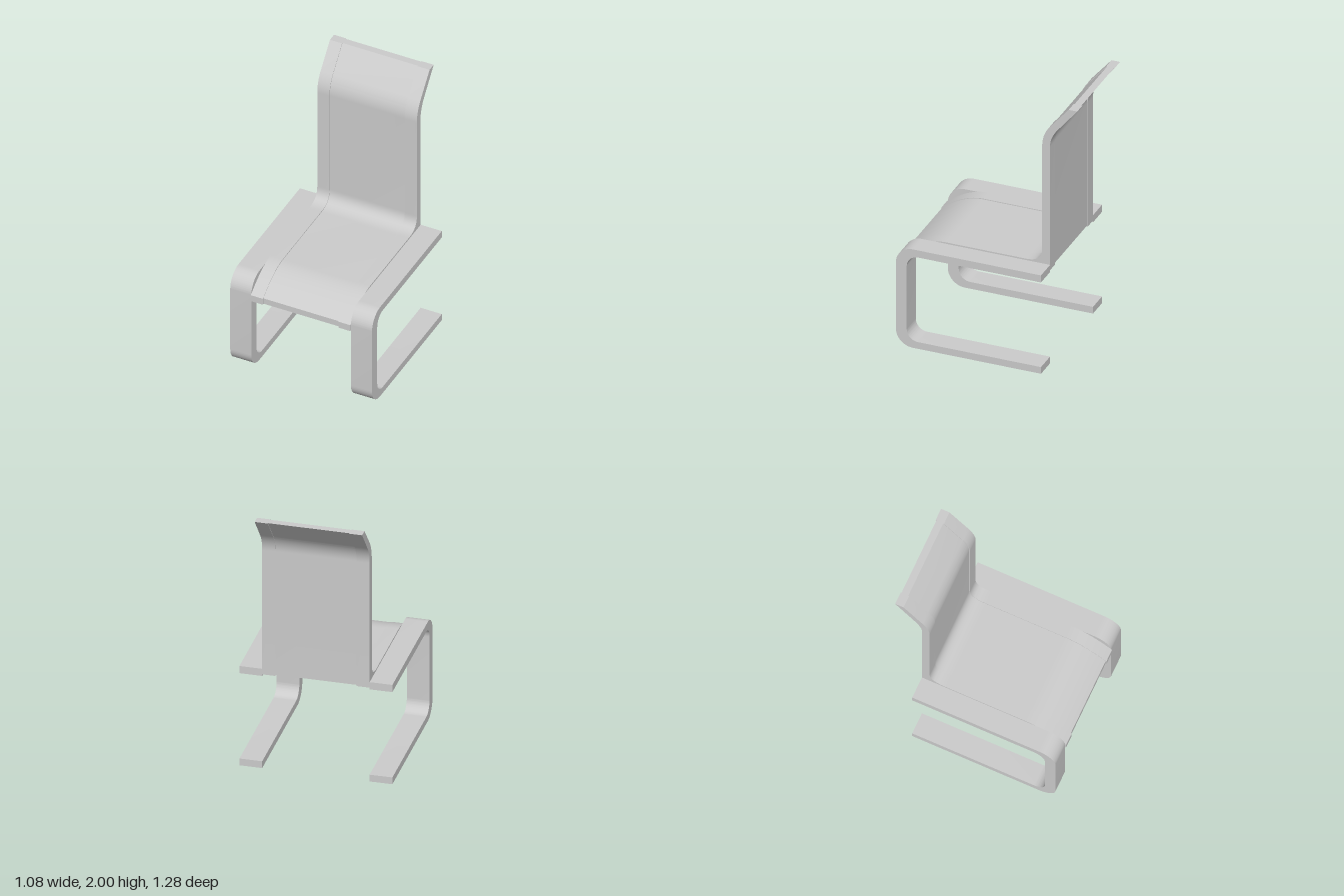
import * as THREE from 'three';
import { toCreasedNormals } from 'three/addons/utils/BufferGeometryUtils.js';

const material = new THREE.MeshStandardMaterial({ color: 0xcccccc });

// Extrudes a side profile drawn in (z, y) across the width from x0 to x1.
function slab(name, shape, x0, x1) {
  let geometry = new THREE.ExtrudeGeometry(shape, { depth: x1 - x0, bevelEnabled: false, curveSegments: 16 });
  geometry.rotateY(-Math.PI / 2); // profile x -> z, depth -> -x
  geometry.translate(x1, 0, 0);
  geometry = toCreasedNormals(geometry, 0.5);
  const mesh = new THREE.Mesh(geometry, material);
  mesh.name = name;
  return mesh;
}

// Cantilever leg: a C-shaped strip open at the back.
function legProfile() {
  const back = -0.44, front = 0.63, top = 0.765, R = 0.125, r = 0.085;
  const inFront = 0.55, inTop = 0.71, inBottom = 0.052;
  const s = new THREE.Shape();
  s.moveTo(back, 0);
  s.lineTo(front - R, 0);
  s.absarc(front - R, R, R, -Math.PI / 2, 0, false);
  s.absarc(front - R, top - R, R, 0, Math.PI / 2, false);
  s.lineTo(back, top);
  s.lineTo(back, inTop);
  s.lineTo(inFront - r, inTop);
  s.absarc(inFront - r, inTop - r, r, Math.PI / 2, 0, true);
  s.absarc(inFront - r, inBottom + r, r, 0, -Math.PI / 2, true);
  s.lineTo(back, inBottom);
  s.closePath();
  return s;
}

// Seat and backrest in one strip; g thickens it on both faces.
function seatProfile(g) {
  const front = 0.631 + g, top = 0.77 + g, bottom = 0.728 - g;
  const faceZ = -0.388 + g, rearZ = -0.433 - g;
  const s = new THREE.Shape();
  s.moveTo(rearZ, bottom);
  s.lineTo(0.32, bottom);
  s.quadraticCurveTo(0.45, bottom, front, 0.6 - g);       // underside of the lip
  s.lineTo(front, 0.645);
  s.quadraticCurveTo(0.47, top, 0.33, top);               // lip
  s.lineTo(-0.26, top);
  s.bezierCurveTo(-0.335, top, faceZ, 0.80, faceZ, 0.88); // seat to backrest fillet
  s.lineTo(faceZ, 1.68);
  s.quadraticCurveTo(faceZ, 1.765, -0.44 + g, 1.833);     // headrest bend
  s.lineTo(-0.583 + g, 2);
  s.lineTo(-0.634 - g, 2);
  s.lineTo(-0.492 - g, 1.827);
  s.quadraticCurveTo(rearZ, 1.757, rearZ, 1.68);
  s.closePath();
  return s;
}

export function createModel() {
  const model = new THREE.Group();
  model.name = 'cantileverChair';

  const outer = 0.538, edge = 0.378, inner = 0.286;
  model.add(slab('seatPanel', seatProfile(0), -inner, inner));

  for (const [side, sign] of [['left', 1], ['right', -1]]) {
    const span = (a, b) => (sign > 0 ? [a, b] : [-b, -a]);
    model.add(slab(side + 'EdgeBand', seatProfile(0.006), ...span(inner, edge)));
    model.add(slab(side + 'Leg', legProfile(), ...span(edge, outer)));
  }
  return model;
}
